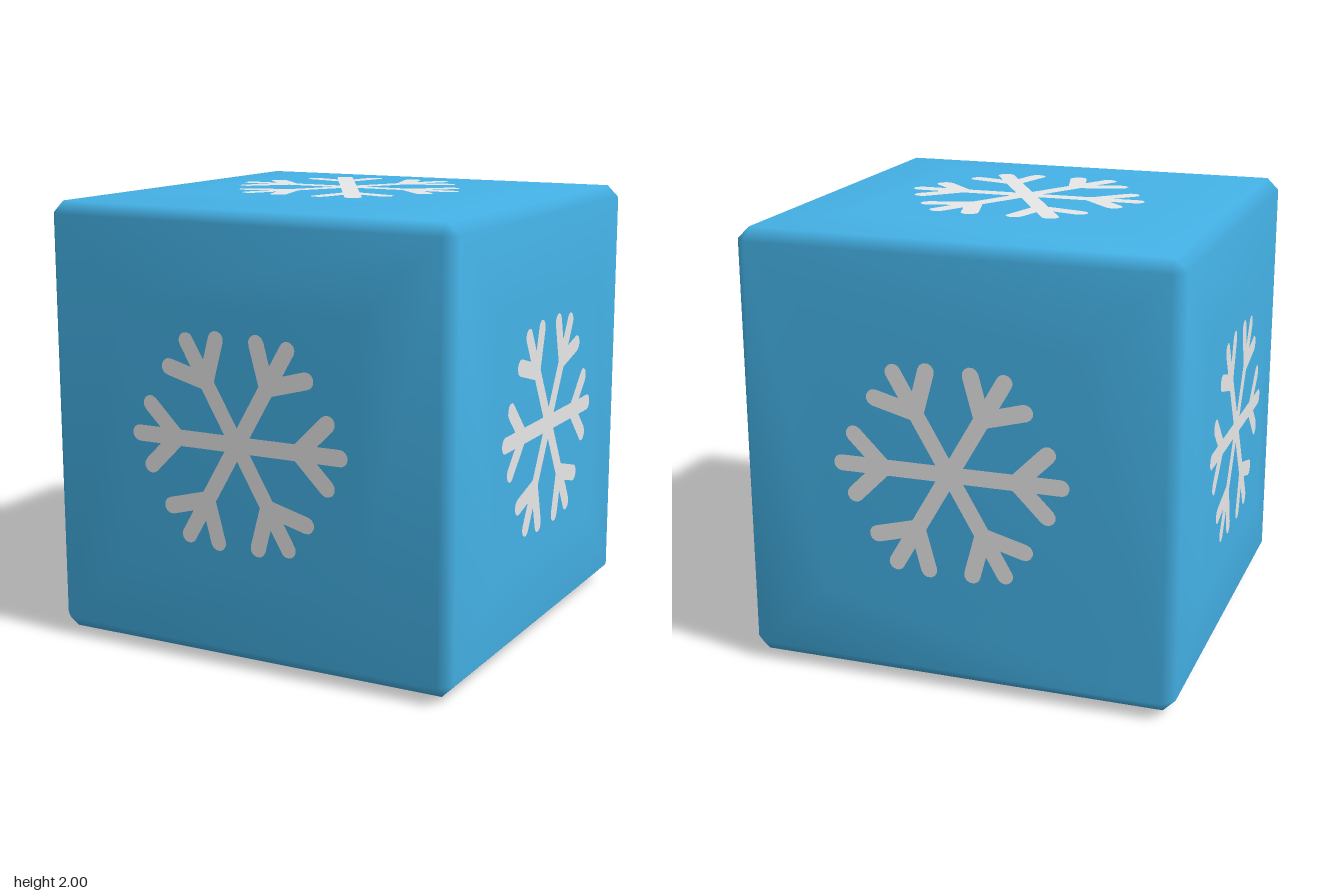
import * as THREE from 'three';
import { mergeVertices } from 'three/addons/utils/BufferGeometryUtils.js';
import { ConvexGeometry } from 'three/addons/geometries/ConvexGeometry.js';

const FACE = 0.998; // distance of the flat face centres from the middle

// Cube with gently bulging faces and bevelled edges, smoothly shaded
function cubeGeometry() {
  const points = [];
  for (let axis = 0; axis < 3; axis++) {
    for (const s of [-1, 1]) for (const u of [-1, 1]) for (const v of [-1, 1]) {
      for (const [half, depth] of [[0.57, FACE], [0.92, 0.974]]) {
        const p = [0, 0, 0];
        p[axis] = s * depth;
        p[(axis + 1) % 3] = u * half;
        p[(axis + 2) % 3] = v * half;
        points.push(new THREE.Vector3(...p));
      }
    }
  }
  const hull = new ConvexGeometry(points);
  hull.deleteAttribute('normal');
  const geometry = mergeVertices(hull, 1e-4);
  geometry.computeVertexNormals();
  return geometry;
}

// Points along a round tip
function arc(cx, cy, r, from, to, steps = 6) {
  return Array.from({ length: steps + 1 }, (_, i) => {
    const a = from + (to - from) * i / steps;
    return [cx + r * Math.cos(a), cy + r * Math.sin(a)];
  });
}

// Six-armed snowflake: one half arm, mirrored and then turned around the centre
function snowflakeGeometry() {
  const Q = Math.PI / 4;
  const lower = [
    [0.062, 0.036], [0.279, 0.036],
    ...arc(0.43, 0.135, 0.037, 3 * Q, -Q),
    [0.383, 0.036],
    ...arc(0.489, 0, 0.036, 2 * Q, 0),
  ].map(([x, y]) => [x, -y]);
  const upper = lower.slice(0, -1).reverse().map(([x, y]) => [x, -y]);
  const arm = [...lower, ...upper];
  // the last point of each arm meets the first point of the next
  const outline = [];
  for (let i = 0; i < 6; i++) {
    const turn = i * Math.PI / 3;
    for (const [x, y] of arm.slice(0, -1)) {
      outline.push(new THREE.Vector2(x, y).rotateAround(new THREE.Vector2(), turn));
    }
  }
  return new THREE.ShapeGeometry(new THREE.Shape(outline));
}

export function createModel() {
  const ice = new THREE.MeshStandardMaterial({ color: 0x46b6ec });
  ice.name = 'iceBlue';
  const snow = new THREE.MeshStandardMaterial({ color: 0xf0f0f0 });
  snow.name = 'snowWhite';

  const model = new THREE.Group();
  model.name = 'snowflakeCube';

  const cube = new THREE.Mesh(cubeGeometry(), ice);
  cube.name = 'cube';
  cube.position.y = 1;
  model.add(cube);

  // One snowflake on each face, a little larger above and below
  const flake = snowflakeGeometry();
  const H = Math.PI / 2;
  const faces = [
    ['front', 0, 0, 1], ['left', 0, H, 1], ['back', 0, 2 * H, 1], ['right', 0, -H, 1],
    ['top', -H, 0, 1.045], ['bottom', H, 0, 1.045],
  ];
  for (const [side, rx, ry, scale] of faces) {
    const mesh = new THREE.Mesh(flake, snow);
    mesh.name = side + 'Snowflake';
    mesh.rotation.set(rx, ry, 0);
    mesh.scale.set(scale, scale, 1);
    mesh.position.set(0, 0, FACE + 0.002).applyEuler(mesh.rotation);
    mesh.position.y += 1;
    model.add(mesh);
  }
  return model;
}
